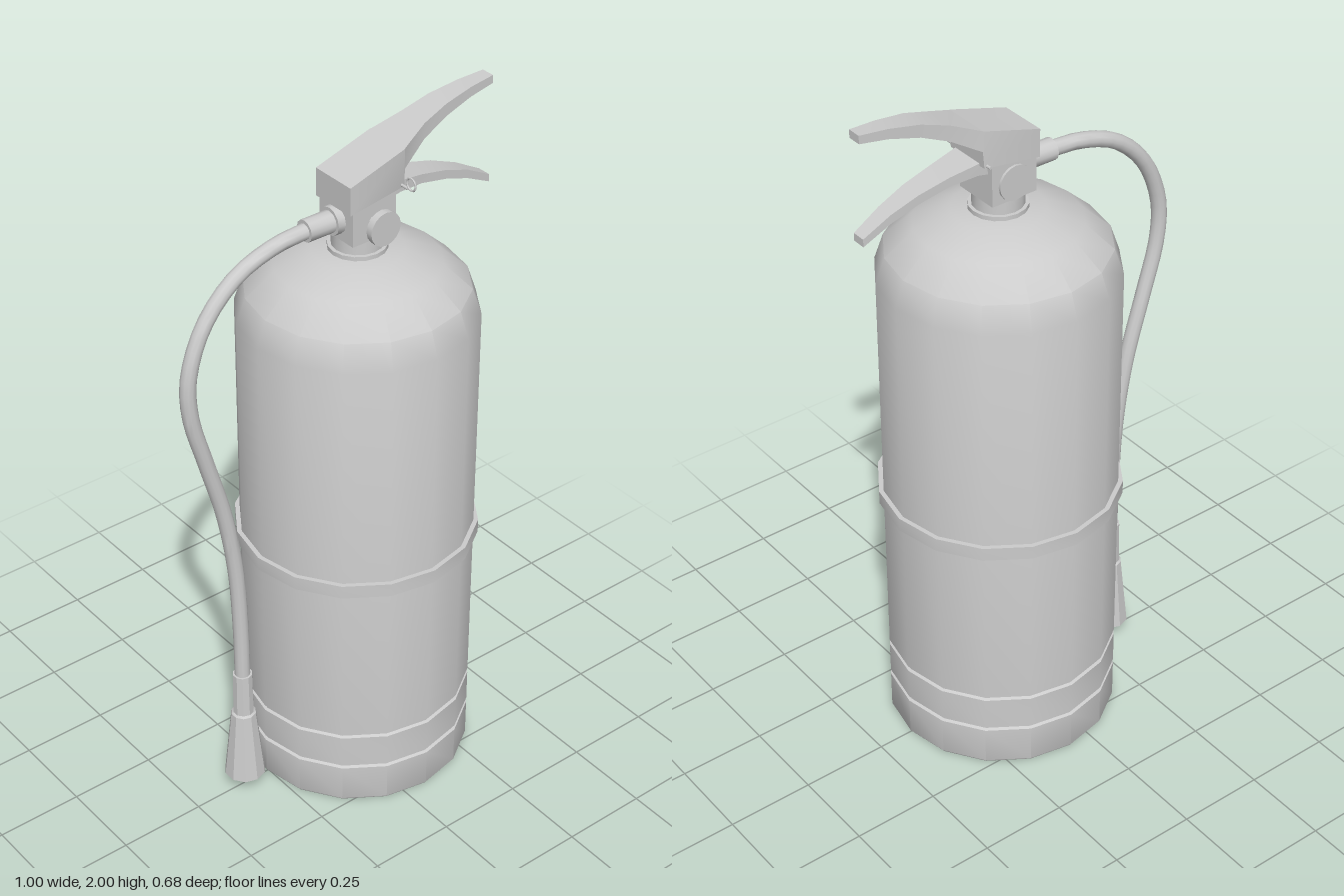
import * as THREE from 'three';
import { toCreasedNormals } from 'three/addons/utils/BufferGeometryUtils.js';

const CX = 0.07; // axis of the tank
const material = new THREE.MeshStandardMaterial({ color: 0xcccccc });

export function createModel() {
  const model = new THREE.Group();

  const add = (name, geometry, x = 0, y = 0, z = 0) => {
    const mesh = new THREE.Mesh(toCreasedNormals(geometry, 0.6), material);
    mesh.name = name;
    mesh.position.set(x, y, z);
    model.add(mesh);
    return mesh;
  };
  const lathe = (points, sides) =>
    new THREE.LatheGeometry(points.map(([r, y]) => new THREE.Vector2(r, y)), sides);
  const rod = (r, length, axis, sides = 12) => {
    const g = new THREE.CylinderGeometry(r, r, length, sides);
    if (axis === 'x') g.rotateZ(Math.PI / 2);
    if (axis === 'z') g.rotateX(Math.PI / 2);
    return g;
  };
  // Bar along x through rectangular sections [x, top, bottom, half width]
  const bar = (sections) => {
    const n = sections.length - 1;
    const g = new THREE.BoxGeometry(1, 1, 1, n, 1, 1);
    const p = g.attributes.position;
    for (let i = 0; i < p.count; i++) {
      const [x, top, bottom, half] = sections[Math.round((p.getX(i) + 0.5) * n)];
      p.setXYZ(i, x, p.getY(i) > 0 ? top : bottom, Math.sign(p.getZ(i)) * half);
    }
    return g;
  };

  // Tank with two grooves near the foot and a rounded shoulder
  const R = 0.327;
  const groove = (y) => [[R, y - 0.008], [R - 0.008, y - 0.004], [R - 0.008, y + 0.004], [R, y + 0.008]];
  add('tank', lathe([
    [0, 0], [R - 0.004, 0], [R, 0.006], ...groove(0.127), ...groove(0.24),
    [R, 1.455], [0.302, 1.53], [0.225, 1.6], [0.125, 1.637], [0, 1.645],
  ], 16), CX);

  // Strap around the tank
  add('strap', lathe([[0.322, 0.745], [0.34, 0.745], [0.34, 0.785], [0.322, 0.785]], 16), CX);

  // Valve
  add('neckRing', rod(0.08, 0.02, 'y', 16), CX, 1.642);
  add('neck', rod(0.07, 0.08, 'y', 16), CX, 1.665);
  add('valveBody', new THREE.BoxGeometry(0.14, 0.12, 0.136), CX, 1.75);

  // Pressure gauge in front, plug behind
  add('gaugeStem', rod(0.02, 0.05, 'z'), CX, 1.74, 0.085);
  add('gauge', rod(0.048, 0.02, 'z', 16), CX, 1.74, 0.105);
  add('backPlug', rod(0.05, 0.02, 'z', 16), CX, 1.74, -0.065);

  // Carrying handle: wide block running out into a tapered grip
  add('upperHandle', bar([
    [-0.01, 1.865, 1.785, 0.07], [0.165, 1.918, 1.812, 0.07], [0.168, 1.919, 1.86, 0.068],
    [0.25, 1.953, 1.908, 0.045], [0.33, 1.979, 1.943, 0.036],
    [0.42, 1.994, 1.966, 0.027], [0.5, 2, 1.977, 0.02],
  ]));

  // Squeeze lever
  add('lowerLever', bar([
    [0.1, 1.835, 1.77, 0.05], [0.17, 1.818, 1.785, 0.05], [0.25, 1.804, 1.778, 0.04],
    [0.34, 1.783, 1.757, 0.033], [0.42, 1.753, 1.728, 0.026], [0.5, 1.71, 1.688, 0.02],
  ]));

  // Safety pin with its pull ring
  add('safetyPin', rod(0.004, 0.18, 'z', 8), 0.157, 1.818, 0.005);
  add('pinRing', new THREE.TorusGeometry(0.017, 0.003, 6, 16).rotateY(Math.PI / 2), 0.157, 1.835, 0.107);

  // Hose and its fittings
  add('hoseNut', rod(0.04, 0.03, 'x'), -0.008, 1.745);
  add('hoseConnector', rod(0.031, 0.085, 'x'), -0.06, 1.745);
  const path = new THREE.CatmullRomCurve3([
    [-0.09, 1.745], [-0.2, 1.735], [-0.32, 1.69], [-0.42, 1.59], [-0.474, 1.45], [-0.472, 1.33],
    [-0.43, 1.17], [-0.378, 0.98], [-0.346, 0.78], [-0.335, 0.58], [-0.333, 0.35],
  ].map(([x, y]) => new THREE.Vector3(x, y, 0)));
  add('hose', new THREE.TubeGeometry(path, 40, 0.022, 12));

  // Discharge nozzle
  add('nozzle', lathe([
    [0, 0.07], [0.05, 0.052], [0.059, 0.052], [0.036, 0.27], [0.03, 0.275], [0.028, 0.41], [0.02, 0.41],
  ], 10), -0.333);

  return model;
}
